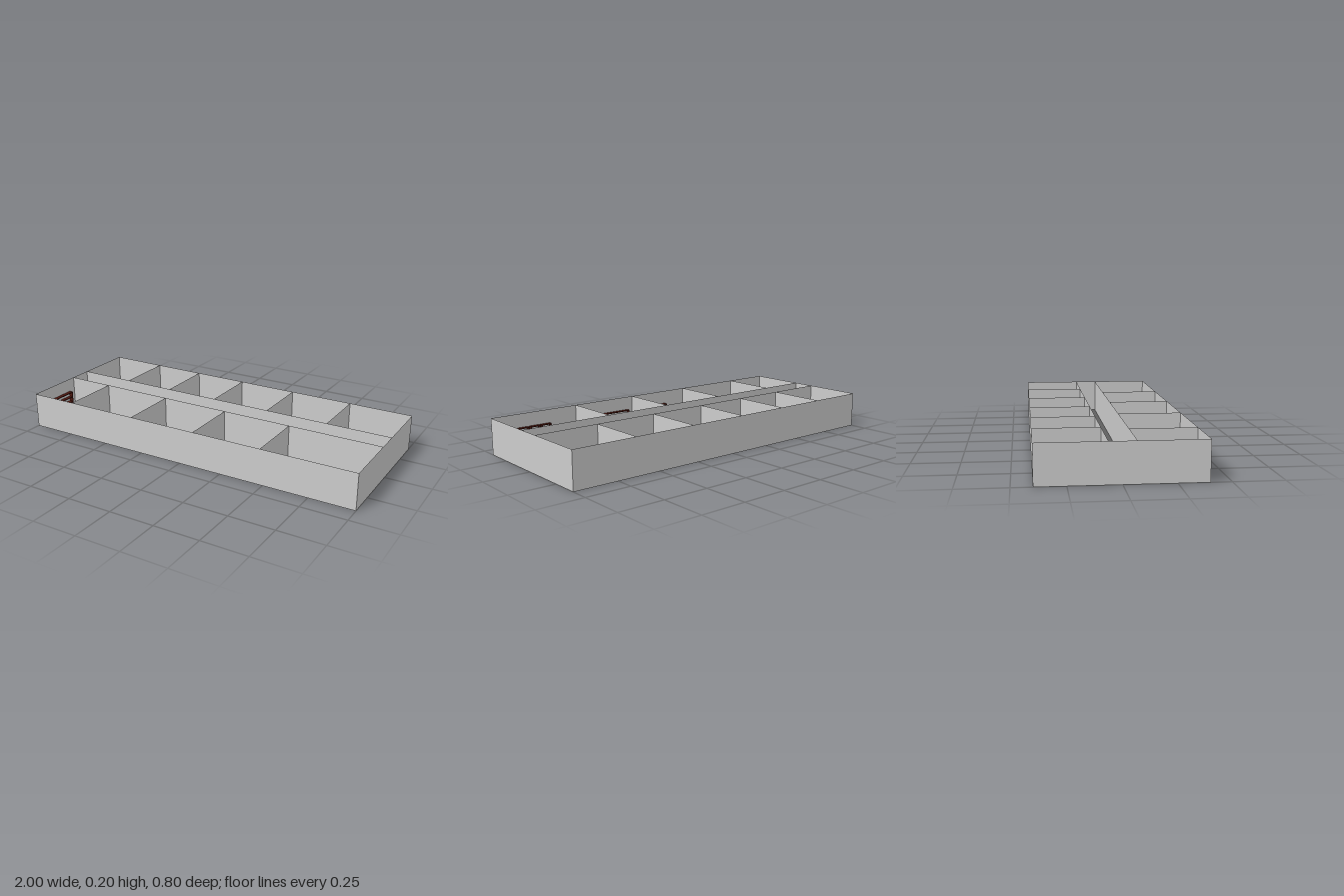
import * as THREE from 'three';

export function createModel() {
  const model = new THREE.Group();
  const H = 0.2;          // wall height
  const hall = 0.065;     // half width of the corridor
  const wallMat = new THREE.MeshStandardMaterial({ color: 0xcccccc, side: THREE.DoubleSide });
  const floorMat = new THREE.MeshStandardMaterial({ color: 0x5f5f5f, side: THREE.DoubleSide });
  const woodMat = new THREE.MeshStandardMaterial({ color: 0x4e1810 });

  // Floor slab
  const floor = new THREE.Mesh(new THREE.PlaneGeometry(2, 0.8).rotateX(-Math.PI / 2), floorMat);
  floor.name = 'floor';
  model.add(floor);

  // Paper-thin walls
  function wall(name, length, x, z, alongZ) {
    const mesh = new THREE.Mesh(new THREE.PlaneGeometry(length, H), wallMat);
    mesh.name = name;
    mesh.position.set(x, H / 2, z);
    if (alongZ) mesh.rotation.y = Math.PI / 2;
    model.add(mesh);
  }
  for (const s of [-1, 1]) {
    wall('longOuterWall', 2, 0, 0.4 * s, false);
    wall('endWall', 0.8, s, 0, true);
    wall('corridorWall', 2, 0, hall * s, false);
  }
  const depth = 0.4 - hall, mid = (0.4 + hall) / 2;
  for (const x of [-0.67, -0.37, -0.06, 0.28, 0.64]) wall('backPartition', depth, x, -mid, true);
  for (const x of [-0.725, -0.31, 0.085, 0.48]) wall('frontPartition', depth, x, mid, true);

  function box(parent, name, w, h, d, x, y, z) {
    const mesh = new THREE.Mesh(new THREE.BoxGeometry(w, h, d), woodMat);
    mesh.name = name;
    mesh.position.set(x, y, z);
    parent.add(mesh);
  }
  function place(name, x, z, turned) {
    const g = new THREE.Group();
    g.name = name;
    g.position.set(x, 0.001, z);
    if (turned) g.rotation.y = Math.PI / 2;
    model.add(g);
    return g;
  }

  // Open shelf rack: two end panels and five boards
  function shelf(x, z, length = 0.06, turned = false) {
    const g = place('shelfRack', x, z, turned);
    const h = 0.124, d = 0.022, t = 0.005;
    for (const s of [-1, 1]) box(g, 'endPanel', t, h, d, s * (length - t) / 2, h / 2, 0);
    for (let i = 0; i < 5; i++) {
      box(g, 'board', length - 2 * t, t, d, 0, t / 2 + i * (h - t) / 4, 0);
    }
  }
  for (const x of [-0.735, -0.443, -0.121, 0.227, 0.566, 0.925]) shelf(x, -0.092);
  for (const x of [-0.489, -0.131]) shelf(x, 0.385);
  for (let i = 0; i < 5; i++) shelf(0.684 + i * 0.0685, 0.385);
  shelf(-0.865, 0.385, 0.245);
  shelf(0.286, 0.385, 0.326);
  for (const x of [-0.984, -0.742]) shelf(x, 0.232, 0.24, true);

  // Desk: top, drawer pedestal at one end, panel leg at the other
  function desk(x, z, turned = false) {
    const g = place('desk', x, z, turned);
    const w = 0.12, h = 0.054, d = 0.05, t = 0.005;
    box(g, 'deskTop', w, t, d, 0, h - t / 2, 0);
    box(g, 'drawerPedestal', 0.035, h - t, d * 0.9, -w / 2 + 0.0195, (h - t) / 2, 0);
    box(g, 'panelLeg', t, h - t, d * 0.9, w / 2 - t, (h - t) / 2, 0);
  }
  const desks = [
    [-0.874, -0.254], [-0.532, -0.244], [-0.233, -0.232], [0.096, -0.26], [0.441, -0.234], [0.805, -0.235],
    [-0.552, 0.166], [-0.131, 0.229], [0.302, 0.265], [0.564, 0.214],
  ];
  for (const [x, z] of desks) desk(x, z);
  desk(0.513, 0.323, true);

  return model;
}
